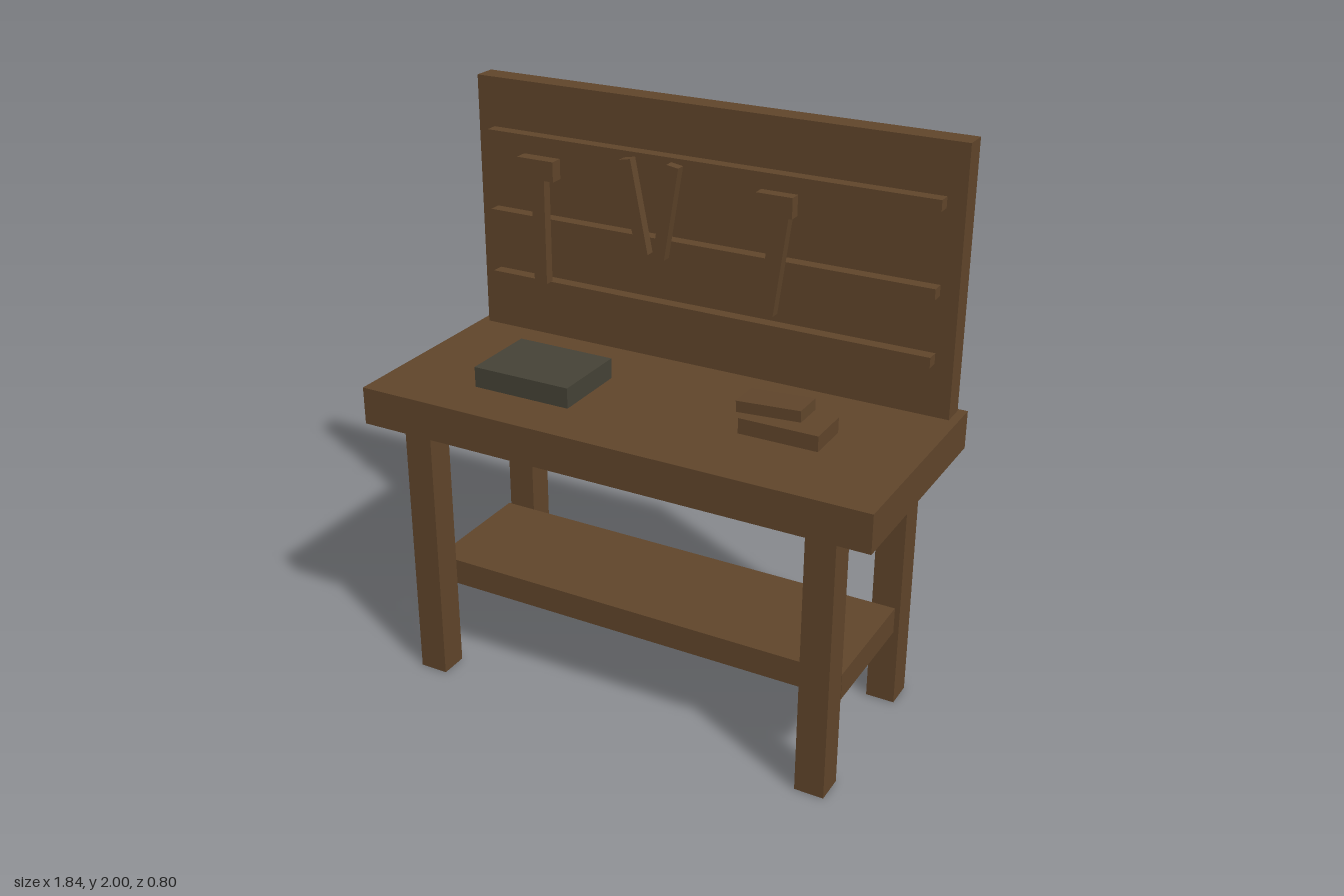
import * as THREE from 'three';

export function createModel() {
  const group = new THREE.Group();
  const wood = new THREE.MeshStandardMaterial({ color: 0x60452b });
  wood.name = 'brown wood';
  const metal = new THREE.MeshStandardMaterial({ color: 0x454236 });
  metal.name = 'dark metal';

  // Box by size and centre, with an optional tilt about z
  function box(name, [w, h, d], [x, y, z], tilt = 0, material = wood) {
    const mesh = new THREE.Mesh(new THREE.BoxGeometry(w, h, d), material);
    mesh.name = name;
    mesh.position.set(x, y, z);
    mesh.rotation.z = tilt;
    group.add(mesh);
  }

  // Bench: top, legs and lower shelf
  box('benchTop', [1.835, 0.133, 0.8], [0, 1.0235, 0]);
  for (const sx of [-1, 1]) {
    for (const sz of [-1, 1]) {
      box(sz > 0 ? 'frontLeg' : 'backLeg', [0.102, 0.957, 0.102], [sx * 0.738, 0.4785, sz * 0.302]);
    }
  }
  box('lowerShelf', [1.56, 0.095, 0.45], [0, 0.3475, 0]);

  // Back panel with three tool rails
  box('backPanel', [1.775, 0.91, 0.082], [0, 1.545, -0.345]);
  for (const y of [1.292, 1.522, 1.808]) {
    box('toolRail', [1.65, 0.037, 0.044], [0, y, -0.282]);
  }

  // Hanging mallet
  box('malletHead', [0.142, 0.07, 0.047], [-0.59, 1.735, -0.213]);
  box('malletHandle', [0.05, 0.375, 0.036], [-0.588, 1.5125, -0.219]);

  // Pair of hanging bars forming a V
  box('leftBar', [0.044, 0.326, 0.034], [-0.213, 1.657, -0.215], 0.2);
  box('rightBar', [0.044, 0.326, 0.034], [-0.093, 1.657, -0.215], -0.16);

  // Hanging hatchet
  box('hatchetHead', [0.128, 0.07, 0.04], [0.297, 1.744, -0.217]);
  box('hatchetHandle', [0.058, 0.374, 0.036], [0.299, 1.558, -0.217], -0.13);

  // Items lying on the bench
  box('metalSlab', [0.362, 0.072, 0.283], [-0.41, 1.126, 0.071], 0, metal);
  box('lowerBlock', [0.273, 0.053, 0.156], [0.493, 1.137, 0.07]);
  box('upperBlock', [0.222, 0.038, 0.108], [0.449, 1.198, 0.073], 0.06);

  return group;
}
